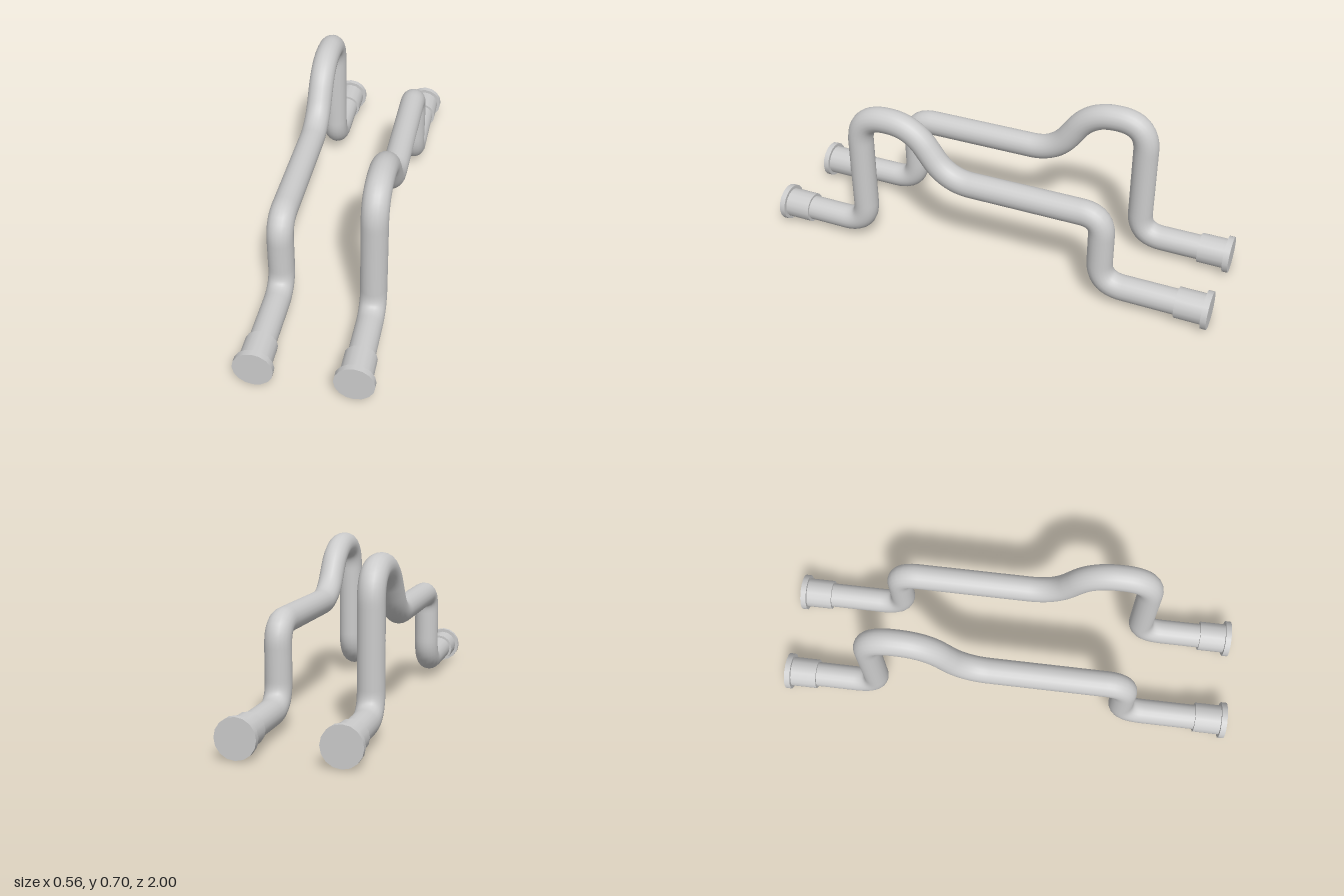
import * as THREE from 'three';

const material = new THREE.MeshStandardMaterial({ color: 0xcccccc });
const PIPE_R = 0.055, BASE_Y = 0.082, PIPE_X = 0.197;

// Corners of the bent pipe in its own plane: [z, y, bend setback]
const corners = [
  [0.98, BASE_Y, 0],
  [0.58, BASE_Y, 0.11],
  [0.58, 0.647, 0.13],
  [0.33, 0.647, 0.11],
  [0.17, 0.42, 0.11],
  [-0.52, 0.42, 0.09],
  [-0.52, BASE_Y, 0.11],
  [-0.98, BASE_Y, 0],
];

// Straight runs joined by rounded bends
function pipeCurve() {
  const path = new THREE.CurvePath();
  const pts = corners.map(([z, y]) => new THREE.Vector3(0, y, z));
  let last = pts[0];
  for (let i = 1; i < pts.length - 1; i++) {
    const setback = corners[i][2];
    const toward = (p) => pts[i].clone().add(p.clone().sub(pts[i]).setLength(setback));
    const a = toward(pts[i - 1]), b = toward(pts[i + 1]);
    path.add(new THREE.LineCurve3(last, a));
    path.add(new THREE.QuadraticBezierCurve3(a, pts[i], b));
    last = b;
  }
  path.add(new THREE.LineCurve3(last, pts[pts.length - 1]));
  return path;
}

function disc(name, radius, length, z) {
  const geometry = new THREE.CylinderGeometry(radius, radius, length, 16).rotateX(Math.PI / 2);
  const mesh = new THREE.Mesh(geometry, material);
  mesh.name = name;
  mesh.position.set(0, BASE_Y, z);
  return mesh;
}

// One handle: bent pipe with a sleeve and end flange on both ends
function createHandle(name) {
  const handle = new THREE.Group();
  handle.name = name;
  const pipe = new THREE.Mesh(new THREE.TubeGeometry(pipeCurve(), 160, PIPE_R, 20), material);
  pipe.name = 'bentPipe';
  handle.add(pipe);
  for (const s of [1, -1]) {
    handle.add(disc('sleeve', 0.066, 0.12, s * 0.92));
    handle.add(disc('endFlange', 0.081, 0.025, s * 0.9875));
  }
  return handle;
}

export function createModel() {
  const model = new THREE.Group();
  model.name = 'pipeHandles';
  const left = createHandle('leftHandle');
  left.position.x = PIPE_X;
  // The right handle is the same part turned end for end
  const right = createHandle('rightHandle');
  right.position.x = -PIPE_X;
  right.rotation.y = Math.PI;
  model.add(left, right);
  return model;
}
